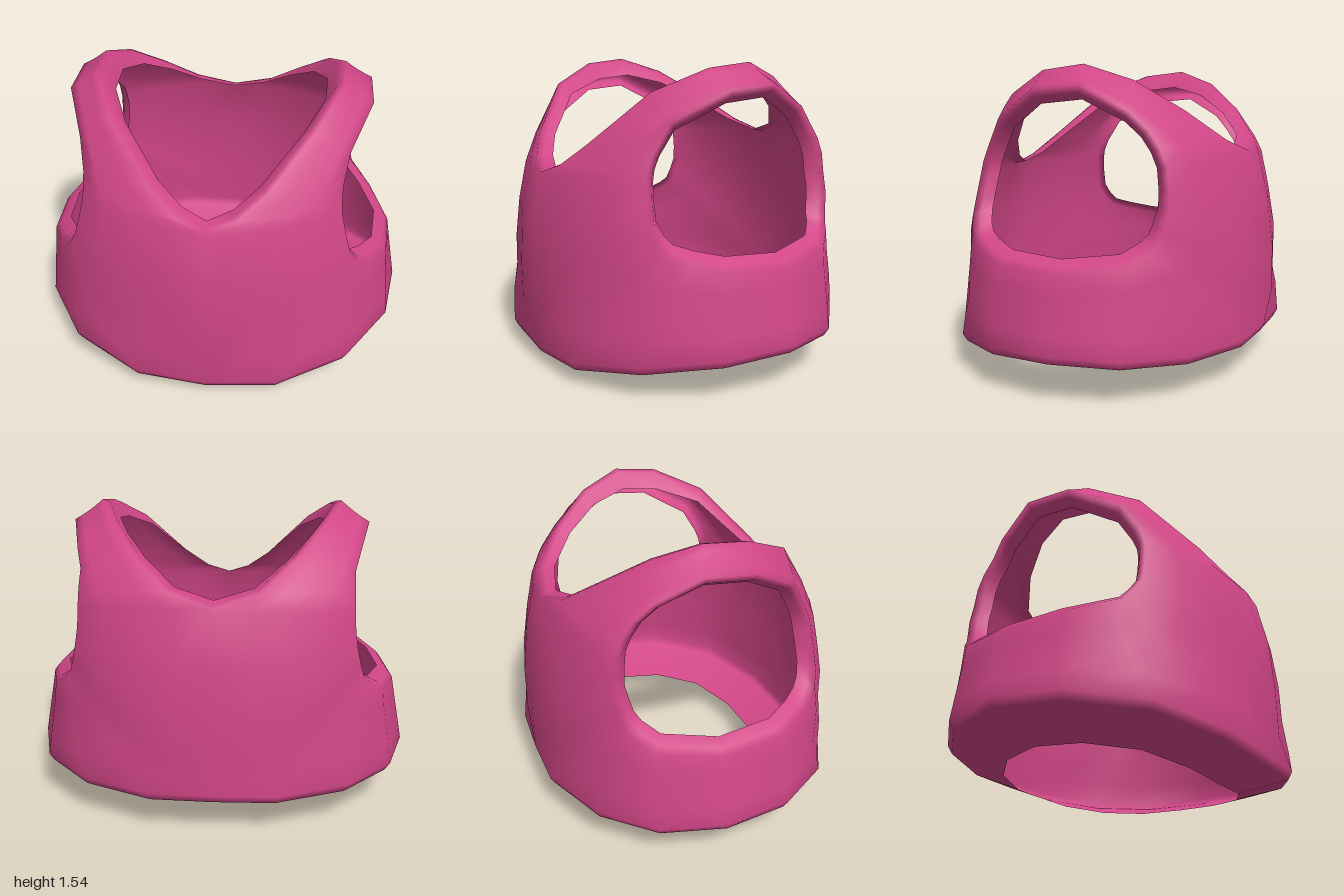
import * as THREE from 'three';
import { mergeVertices } from 'three/addons/utils/BufferGeometryUtils.js';

// Border of one half of the vest: neckline (back to front), front centre, hem (front to back), back centre
const NECK_END = 9, HEM_START = 12, HEM_END = 20;
const border = [
  [0, 1.12, -0.7], [0.22, 1.185, -0.65], [0.4, 1.33, -0.5], [0.54, 1.47, -0.3], [0.62, 1.545, -0.08],
  [0.61, 1.52, 0.15], [0.5, 1.41, 0.4], [0.28, 1.16, 0.62], [0.14, 1.05, 0.7], [0, 1.0, 0.745],
  [0, 0.72, 0.8], [0, 0.4, 0.8],
  [0, 0.1, 0.79], [0.37, 0.12, 0.765], [0.72, 0.18, 0.59], [0.94, 0.22, 0.27], [1, 0.24, -0.08],
  [0.9, 0.23, -0.4], [0.66, 0.22, -0.64], [0.31, 0.22, -0.79], [0, 0.22, -0.8],
  [0, 0.5, -0.795], [0, 0.85, -0.765],
];
// Armhole: x of the outer edge, then y and z of the opening, one row per border point
const armhole = [
  [0.67, 1.07, -0.45], [0.67, 1.14, -0.42], [0.67, 1.21, -0.37], [0.7, 1.28, -0.3], [0.76, 1.38, -0.11],
  [0.76, 1.36, 0.11], [0.655, 1.24, 0.33], [0.63, 1.12, 0.4], [0.63, 1.06, 0.425], [0.635, 1.01, 0.435],
  [0.66, 0.92, 0.445], [0.69, 0.83, 0.45],
  [0.73, 0.77, 0.43], [0.76, 0.73, 0.4], [0.82, 0.705, 0.33], [0.9, 0.675, 0.2], [0.93, 0.66, -0.08],
  [0.84, 0.69, -0.34], [0.77, 0.74, -0.41], [0.73, 0.775, -0.435], [0.71, 0.83, -0.45],
  [0.69, 0.9, -0.465], [0.675, 0.98, -0.46],
];

const { lerp, clamp } = THREE.MathUtils;

// Distance factor from a point to the rounded body section at its height
function bodyFactor([x, y, z]) {
  const a = lerp(1, 0.93, clamp((y - 0.2) / 0.4, 0, 1));
  const b = y < 1 ? lerp(0.8, 0.745, clamp((y - 0.7) / 0.3, 0, 1)) : lerp(0.745, 0.5, (y - 1) / 0.55);
  return 1 / Math.hypot(x / a, z / b);
}

// Point between p and q, bowed to follow the body
function bowed(p, q, t) {
  const m = p.map((v, i) => lerp(v, q[i], t));
  const k = bodyFactor(m) / lerp(bodyFactor(p), bodyFactor(q), t);
  return [m[0] * k, m[1], m[2] * k];
}

const between = (r, s, t) => r.map((p, i) => bowed(p, s[i], t));
const armRing = (sx, s) => armhole.map(([x, y, z]) => [x * sx, 1 + (y - 1) * s, z * s]);

// Neckline lip: level at the centre, turned down along the straps
const neck = border.slice(0, NECK_END + 1);
const neckDrop = (x) => 0.02 - 0.3 * x * x;
const neckRoll = neck.map(([x, y, z]) => [x * 0.94, y + 0.006 + neckDrop(x) * 0.2, z * 0.95]);
const neckEdge = neck.map(([x, y, z]) => [x * 0.86, y + neckDrop(x), z * 0.88]);

// Hem: a small bevel, then a wide flange turned in under the body
const hem = border.slice(HEM_START, HEM_END + 1);
const hemBevel = hem.map(([x, y, z]) => [x * 0.975, y - 0.04, z * 0.975]);
const hemEdge = hem.map(([x, y, z]) => [x * 0.69, 0.7 * (y - 0.1) + 0.003, z * (z > 0 ? 0.67 : 0.69)]);

// Thin skin over successive rings, mirrored to both halves
function skin(strips) {
  const pos = [];
  const tri = (a, b, c) => {
    pos.push(...a, ...b, ...c);
    for (const [x, y, z] of [a, c, b]) pos.push(-x, y, z);
  };
  for (const { rings, closed } of strips) {
    const n = rings[0].length;
    for (let r = 0; r < rings.length - 1; r++) {
      const [a, b] = [rings[r], rings[r + 1]];
      for (let i = 0; i < (closed ? n : n - 1); i++) {
        const j = (i + 1) % n;
        tri(a[i], b[i], b[j]);
        tri(a[i], b[j], a[j]);
      }
    }
  }
  const g = new THREE.BufferGeometry();
  g.setAttribute('position', new THREE.Float32BufferAttribute(pos, 3));
  const welded = mergeVertices(g, 1e-4);
  welded.computeVertexNormals();
  return welded;
}

export function createModel() {
  const group = new THREE.Group();
  group.name = 'vest';
  const pink = new THREE.MeshStandardMaterial({ color: 0xd14687, side: THREE.DoubleSide });
  pink.name = 'pink fabric';

  // Body and straps, with rolled armholes, neckline and hem
  const armEdge = armRing(1, 1.17);
  const body = new THREE.Mesh(skin([
    {
      closed: true,
      rings: [armRing(0.91, 1), armRing(0.975, 1.08), armEdge,
        between(armEdge, border, 0.25), between(armEdge, border, 0.5), between(armEdge, border, 0.75), border],
    },
    { closed: false, rings: [neck, neckRoll, neckEdge] },
    { closed: false, rings: [hem, hemBevel, hemEdge] },
  ]), pink);
  body.name = 'vestBody';
  group.add(body);
  return group;
}
